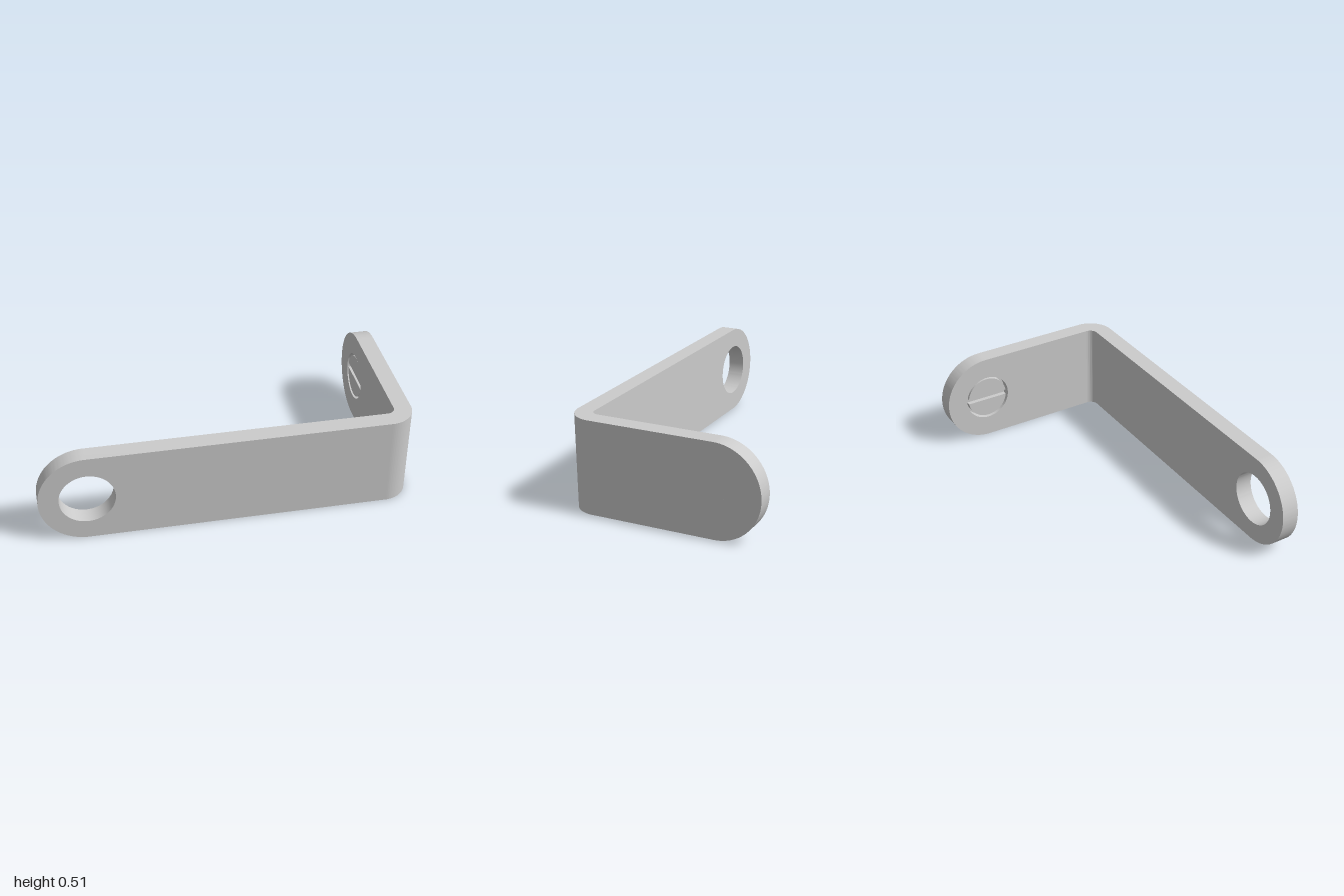
import * as THREE from 'three';
import { toCreasedNormals } from 'three/addons/utils/BufferGeometryUtils.js';

const R = 0.254;      // half height of the strip, radius of its round ends
const T = 0.095;      // strip thickness
const BEND = 0.14;    // outer bend radius
const OUT_X = 1, OUT_Z = 0.54;
const LONG_C = 0.746, SHORT_C = 0.286; // distances of the round-end centres

export function createModel() {
  const root = new THREE.Group();
  root.name = 'angleBracket';
  const material = new THREE.MeshStandardMaterial({ color: 0xcccccc });

  const add = (name, geometry, parent = root) => {
    const mesh = new THREE.Mesh(geometry, material);
    mesh.name = name;
    parent.add(mesh);
    return mesh;
  };
  const extrude = (shape, depth) => toCreasedNormals(
    new THREE.ExtrudeGeometry(shape, { depth, bevelEnabled: false, curveSegments: 48 }), 0.6);

  // Plate with one square end, one round end and a hole at the round end's centre
  const plate = (start, centre, hole, depth) => {
    const s = new THREE.Shape();
    s.moveTo(start, 0);
    s.lineTo(centre, 0);
    s.absarc(centre, R, R, -Math.PI / 2, Math.PI / 2, false);
    s.lineTo(start, 2 * R);
    s.closePath();
    s.holes.push(new THREE.Path().absarc(centre, R, hole, 0, Math.PI * 2, true));
    return extrude(s, depth);
  };

  // Long arm, with the open mounting hole
  add('longArm', plate(-(OUT_X - BEND), LONG_C, 0.147, T).rotateY(Math.PI).translate(0, 0, OUT_Z));

  // Rounded corner joining the two arms
  const cx = OUT_X - BEND, cz = OUT_Z - BEND;
  const sector = new THREE.Shape();
  sector.absarc(cx, -cz, BEND, -Math.PI / 2, 0, false);
  sector.absarc(cx, -cz, BEND - T, 0, -Math.PI / 2, true);
  sector.closePath();
  add('bend', extrude(sector, 2 * R).rotateX(-Math.PI / 2));

  // Short arm: inner layer holds the screw head, outer layer its shank
  const headR = 0.122, seatR = 0.134, shankR = 0.063, seatDepth = 0.05;
  const innerX = OUT_X - T;
  add('shortArmInner', plate(-cz, SHORT_C, seatR, seatDepth).rotateY(Math.PI / 2).translate(innerX, 0, 0));
  add('shortArmOuter', plate(-cz, SHORT_C, shankR, T - seatDepth).rotateY(Math.PI / 2)
    .translate(innerX + seatDepth, 0, 0));

  // Sunken slotted screw, its axis along x
  const screw = new THREE.Group();
  screw.name = 'screw';
  screw.position.set(innerX, R, -SHORT_C);
  root.add(screw);
  const cylinder = (radius, x0, x1) => new THREE.CylinderGeometry(radius, radius, x1 - x0, 64)
    .rotateZ(Math.PI / 2).translate((x0 + x1) / 2, 0, 0);
  add('screwHeadBase', cylinder(headR, 0.03, seatDepth), screw);
  add('screwShank', cylinder(shankR, seatDepth, T), screw);

  // Two half discs leave the slot between them
  const a = Math.asin(0.014 / headR);
  for (const [name, turn] of [['screwHeadUpper', 0], ['screwHeadLower', Math.PI]]) {
    const half = new THREE.Shape();
    half.absarc(0, 0, headR, turn + a, turn + Math.PI - a, false);
    half.closePath();
    add(name, extrude(half, 0.026).rotateY(Math.PI / 2).translate(0.004, 0, 0), screw);
  }
  return root;
}
